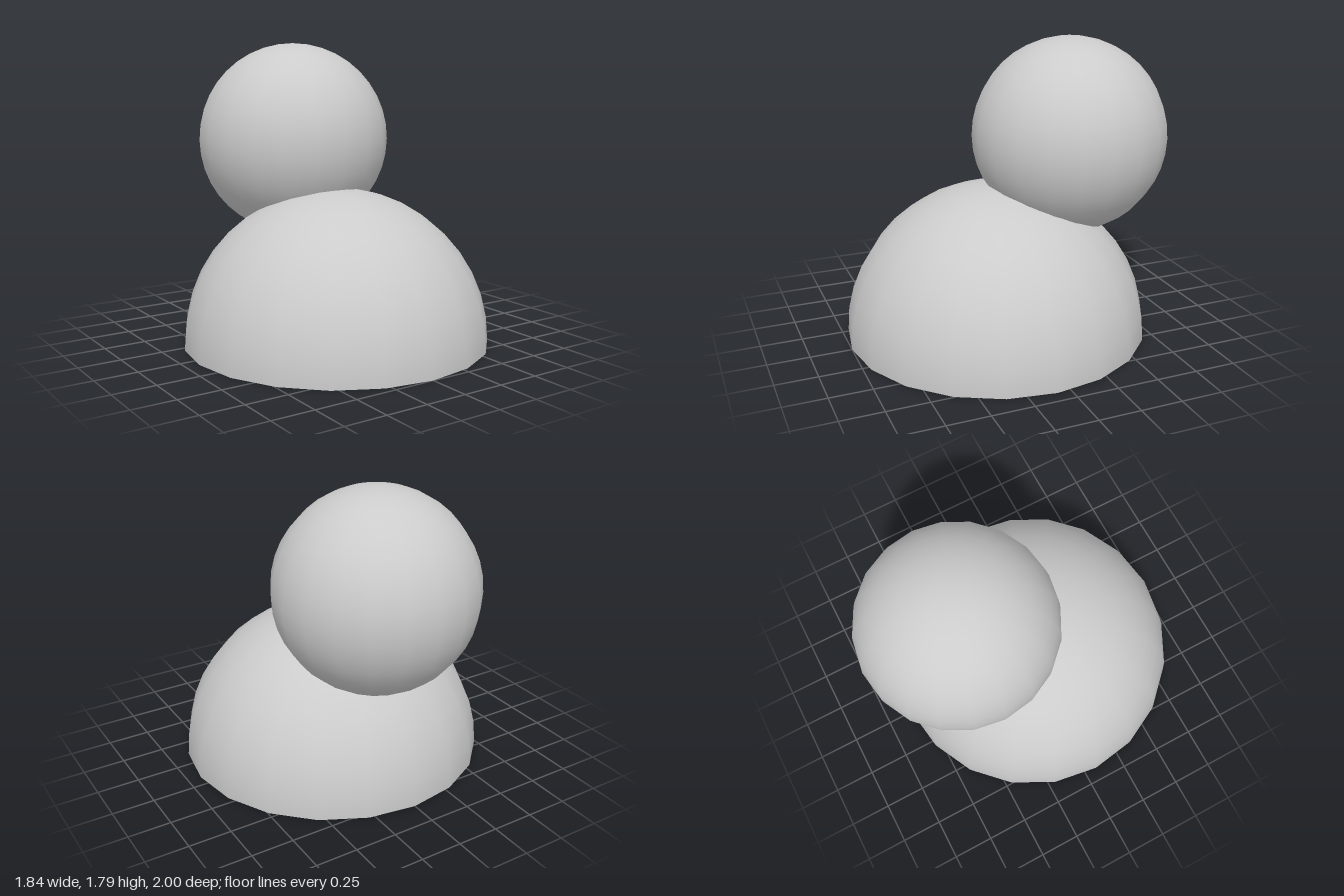
import * as THREE from 'three';

export function createModel() {
  const group = new THREE.Group();
  const material = new THREE.MeshStandardMaterial({ color: 0xcccccc, side: THREE.DoubleSide });

  // Body: hollow half dome, open underneath
  const body = new THREE.Mesh(
    new THREE.SphereGeometry(0.92, 20, 10, 0, Math.PI * 2, 0, Math.PI / 2),
    material
  );
  body.name = 'bodyDome';
  body.position.set(0, 0, 0.08);

  // Head: full ball sunk into the upper back of the dome
  const head = new THREE.Mesh(new THREE.SphereGeometry(0.595, 20, 20), material);
  head.name = 'headBall';
  head.position.set(0, 1.19, -0.405);

  group.add(body, head);
  return group;
}
